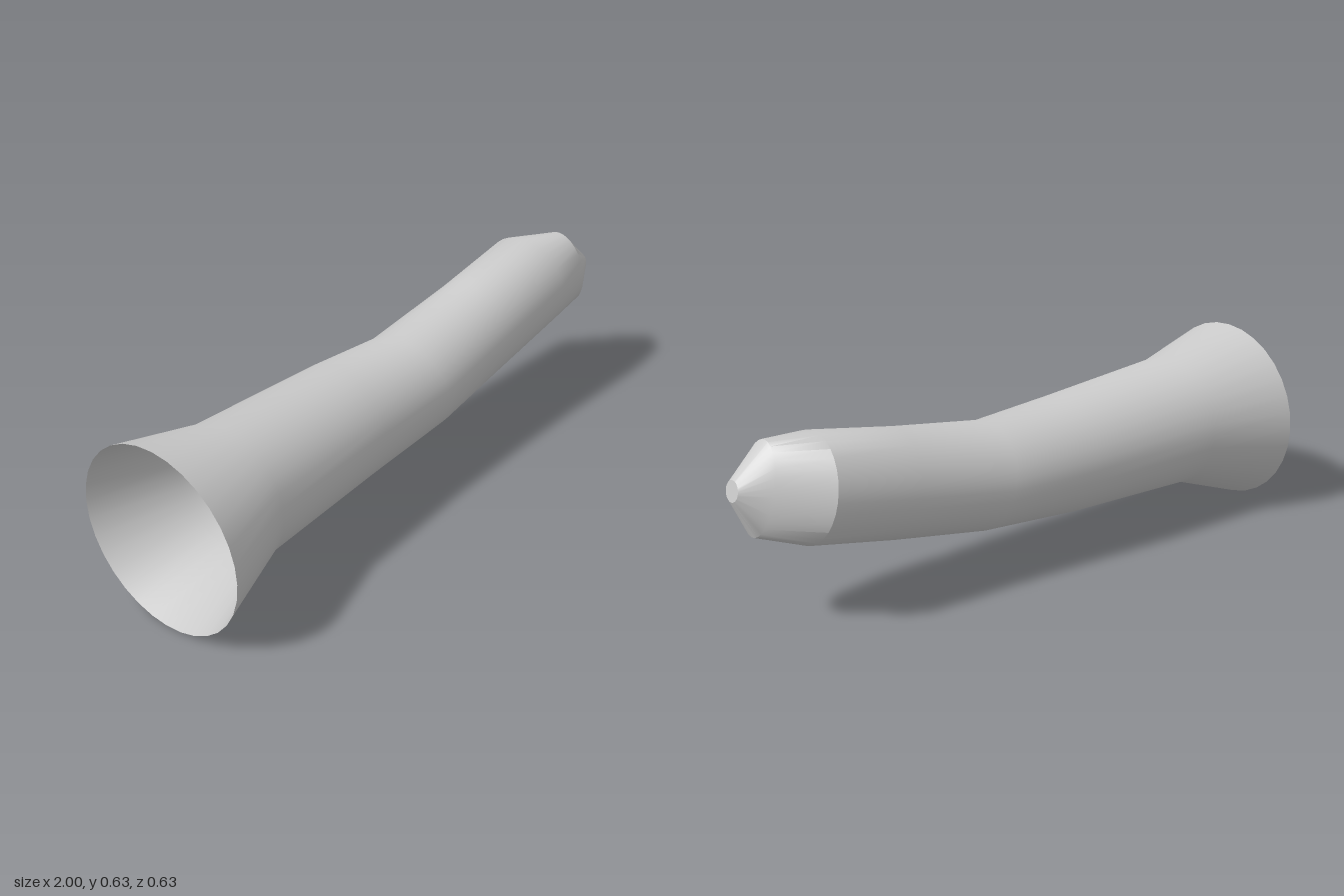
import * as THREE from 'three';
import { toCreasedNormals } from 'three/addons/utils/BufferGeometryUtils.js';

const SIDES = 32;

// Cross-sections along the sleeve: centre x, y, z, half height, half depth, lean of the top towards -x
const RINGS = [
  [-1.0, 0.315, 0.0, 0.314, 0.314, 0],
  [-0.71, 0.335, 0.0, 0.226, 0.226, 0],
  [-0.2, 0.331, -0.002, 0.2, 0.199, 0],
  [0.13, 0.334, 0.011, 0.176, 0.181, 0.04],
  [0.48, 0.394, 0.02, 0.175, 0.165, 0.037],
  [0.775, 0.453, 0.028, 0.173, 0.161, 0.035],
  [0.913, 0.469, 0.083, 0.148, 0.09, 0.033],
  [0.992, 0.476, 0.099, 0.033, 0.034, 0.007],
];

// Skin the rings as one tube, open at the start and closed by a disc at the end
function loft(rings) {
  const positions = [];
  const index = [];
  for (const [x, y, z, ry, rz, lean] of rings) {
    for (let j = 0; j < SIDES; j++) {
      const a = (j / SIDES) * Math.PI * 2;
      positions.push(x - lean * Math.cos(a), y + ry * Math.cos(a), z + rz * Math.sin(a));
    }
  }
  for (let i = 0; i < rings.length - 1; i++) {
    for (let j = 0; j < SIDES; j++) {
      const k = (j + 1) % SIDES;
      const a = i * SIDES + j, b = i * SIDES + k;
      index.push(a, b, a + SIDES, b, b + SIDES, a + SIDES);
    }
  }
  const last = (rings.length - 1) * SIDES;
  const centre = positions.length / 3;
  positions.push(...rings[rings.length - 1].slice(0, 3));
  for (let j = 0; j < SIDES; j++) index.push(last + j, last + ((j + 1) % SIDES), centre);

  const geometry = new THREE.BufferGeometry();
  geometry.setAttribute('position', new THREE.Float32BufferAttribute(positions, 3));
  geometry.setIndex(index);
  return toCreasedNormals(geometry, 0.55);
}

export function createModel() {
  const model = new THREE.Group();
  model.name = 'sleeve';

  // Flared hollow tube with a bent body and a blunt tapered tip
  const material = new THREE.MeshStandardMaterial({ color: 0xcccccc, side: THREE.DoubleSide });
  const tube = new THREE.Mesh(loft(RINGS), material);
  tube.name = 'flaredTube';
  model.add(tube);
  return model;
}
